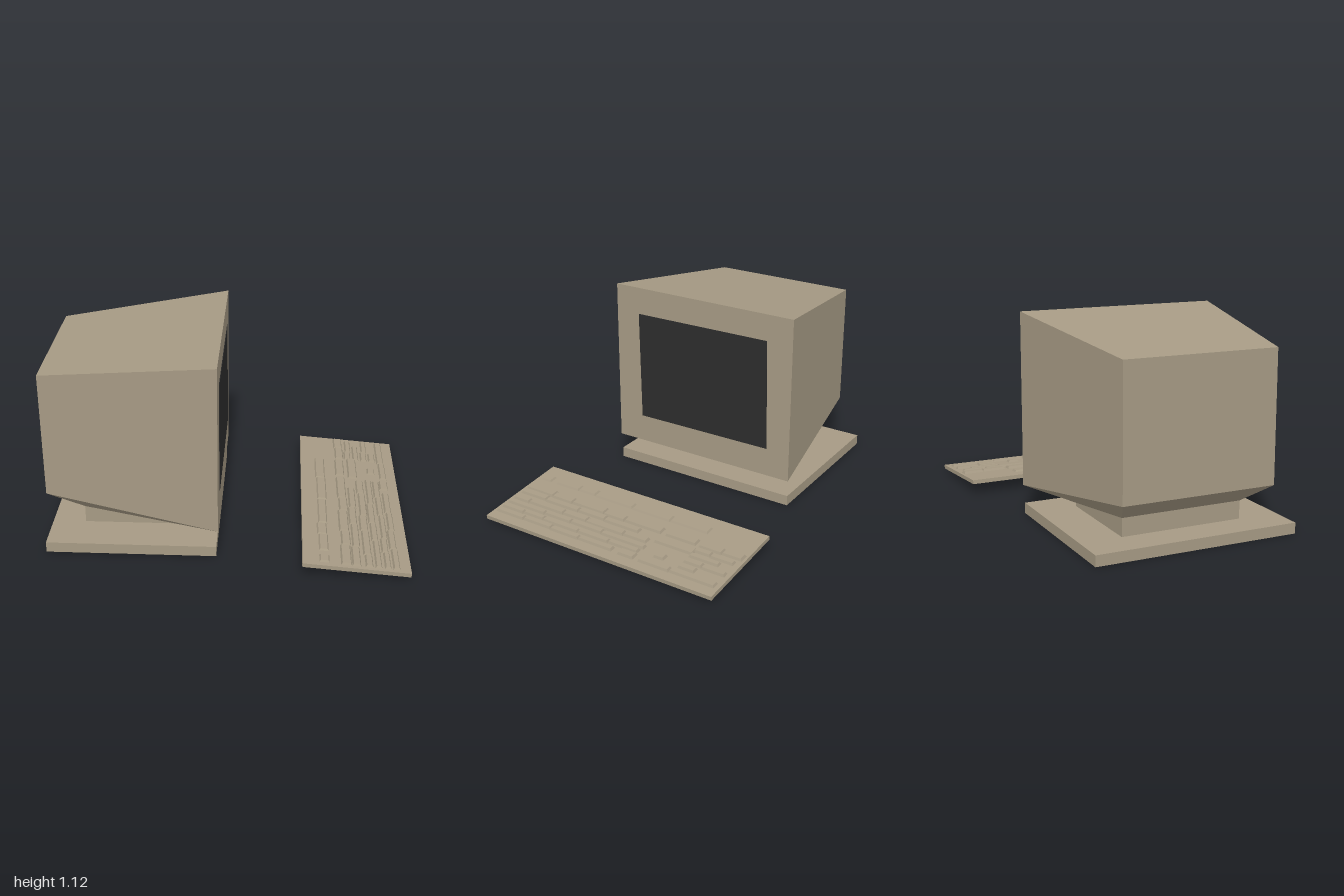
import * as THREE from 'three';
import { ConvexGeometry } from 'three/addons/geometries/ConvexGeometry.js';

const casing = new THREE.MeshStandardMaterial({ color: 0xa69a84 });
casing.name = 'beige casing';
const glass = new THREE.MeshStandardMaterial({ color: 0x2d2d2d });
glass.name = 'dark glass';

function add(parent, name, geometry, material) {
  const mesh = new THREE.Mesh(geometry, material);
  mesh.name = name;
  parent.add(mesh);
  return mesh;
}

// Box given by its limits on each axis
function boxBetween(x0, x1, y0, y1, z0, z1) {
  return new THREE.BoxGeometry(x1 - x0, y1 - y0, z1 - z0)
    .translate((x0 + x1) / 2, (y0 + y1) / 2, (z0 + z1) / 2);
}

// Key block with bevelled sides: the upper corners are drawn inwards
function keyBlock(x0, x1, z0, z1, height) {
  const bevel = 0.007;
  const g = new THREE.BoxGeometry(x1 - x0, height, z1 - z0).toNonIndexed();
  const p = g.attributes.position;
  for (let i = 0; i < p.count; i++) {
    if (p.getY(i) > 0) {
      p.setX(i, p.getX(i) - Math.sign(p.getX(i)) * bevel);
      p.setZ(i, p.getZ(i) - Math.sign(p.getZ(i)) * bevel);
    }
  }
  g.computeVertexNormals();
  return g.translate((x0 + x1) / 2, height / 2, (z0 + z1) / 2);
}

function createMonitor() {
  const monitor = new THREE.Group();
  monitor.name = 'monitor';
  add(monitor, 'basePlate', boxBetween(-0.99, -0.05, 0, 0.06, -0.59, 0.56), casing);
  add(monitor, 'neck', boxBetween(-0.805, -0.23, 0.06, 0.162, -0.36, 0.33), casing);

  // Housing tapers to the back, its underside slopes up from the neck
  const corners = [];
  const ring = (x, ys, zs) => ys.forEach(y => zs.forEach(z => corners.push(new THREE.Vector3(x, y, z))));
  ring(-0.04, [0.16, 1.125], [-0.595, 0.562]);
  ring(-1, [0.285, 1.0], [-0.45, 0.412]);
  ring(-0.805, [0.16], [-0.36, 0.33]);
  add(monitor, 'housing', new ConvexGeometry(corners), casing);

  // Slightly skewed screen, drawn in (-z, y) and turned to face +x
  const outline = new THREE.Shape([[-0.398, 0.324], [0.453, 0.328], [0.438, 0.973], [-0.41, 0.967]]
    .map(([a, b]) => new THREE.Vector2(a, b)));
  const screen = new THREE.ExtrudeGeometry(outline, { depth: 0.005, bevelEnabled: false });
  screen.rotateY(Math.PI / 2).translate(-0.042, 0, 0);
  add(monitor, 'screen', screen, glass);
  return monitor;
}

function createKeyboard() {
  const keyboard = new THREE.Group();
  keyboard.name = 'keyboard';
  keyboard.position.set(0.71, 0.06, 0);
  keyboard.rotation.z = -0.083;
  add(keyboard, 'keyboardSlab', boxBetween(-0.291, 0.291, -0.023, 0, -0.735, 0.73), casing);

  // Key runs: [left x, right x, z breaks...], measured across the desk
  const runs = {
    functionKeys: [[0.505, 0.565, -0.44, -0.2, 0.05], [0.505, 0.56, 0.055, 0.31],
      [0.505, 0.56, 0.315, 0.43, 0.59], [0.505, 0.562, 0.63, 0.7]],
    mainKeys: [[0.63, 0.685, -0.22, 0.02, 0.16, 0.38, 0.52, 0.71],
      [0.69, 0.735, -0.11, 0.12, 0.3, 0.53, 0.71],
      [0.75, 0.795, -0.2, -0.05, 0.2, 0.36, 0.6, 0.71],
      [0.803, 0.842, -0.22, 0.06, 0.27, 0.45, 0.71],
      [0.855, 0.892, -0.21, -0.02, 0.18, 0.42, 0.56, 0.71],
      [0.9, 0.94, -0.08, 0.14, 0.33, 0.52, 0.71], [0.885, 0.94, -0.22, -0.12]],
    cursorKeys: [[0.63, 0.685, -0.44, -0.25], [0.7, 0.76, -0.47, -0.23],
      [0.83, 0.875, -0.365, -0.3]],
    numberPad: [[0.63, 0.685, -0.72, -0.6, -0.46], [0.695, 0.735, -0.7, -0.56, -0.46],
      [0.75, 0.785, -0.64, -0.46], [0.8, 0.838, -0.71, -0.57, -0.46],
      [0.85, 0.89, -0.56, -0.46], [0.895, 0.94, -0.71, -0.44, -0.25]],
  };
  // Small sideways jogs give the rows their uneven edges
  const jogs = [0, 0.006, -0.003, 0.004, -0.005];
  for (const [name, rows] of Object.entries(runs)) {
    const bank = new THREE.Group();
    bank.name = name;
    keyboard.add(bank);
    rows.forEach(([x0, x1, ...breaks], r) => {
      for (let i = 0; i + 1 < breaks.length; i++) {
        const jog = jogs[(i + r) % jogs.length];
        const height = name === 'functionKeys' ? 0.01 : 0.013;
        add(bank, 'keyRun', keyBlock(x0 - 0.71 + jog, x1 - 0.71 + jog / 2,
          breaks[i], breaks[i + 1], height), casing);
      }
    });
  }
  return keyboard;
}

export function createModel() {
  const model = new THREE.Group();
  model.name = 'desktopTerminal';
  model.add(createMonitor(), createKeyboard());
  return model;
}
